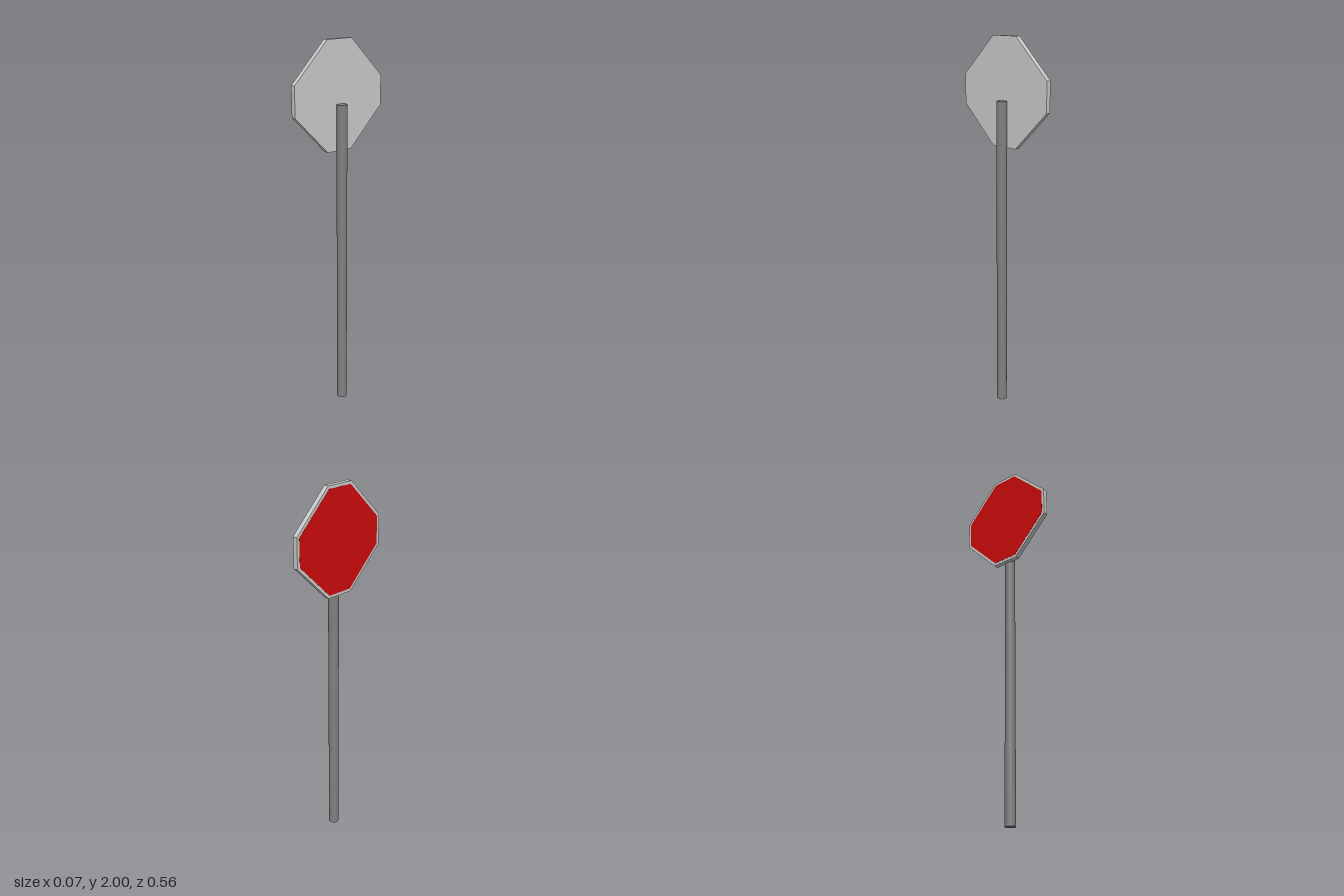
import * as THREE from 'three';

// Octagon with half-width h and straight edges of half-length c
function octagon(h, c) {
  const corners = [[h, -c], [h, c], [c, h], [-c, h], [-h, c], [-h, -c], [-c, -h], [c, -h]];
  return new THREE.Shape(corners.map(([x, y]) => new THREE.Vector2(x, y)));
}

// Upright octagonal plate that starts at x and grows toward -x
function plate(name, h, c, x, depth, color) {
  const geometry = new THREE.ExtrudeGeometry(octagon(h, c), { depth, bevelEnabled: false });
  geometry.rotateY(-Math.PI / 2);
  const mesh = new THREE.Mesh(geometry, new THREE.MeshStandardMaterial({ color }));
  mesh.name = name;
  mesh.position.set(x, 1.722, 0);
  return mesh;
}

export function createModel() {
  const model = new THREE.Group();
  model.name = 'roadSign';

  // Round post, slightly sunk into the back of the sign
  const postHeight = 1.682;
  const post = new THREE.Mesh(
    new THREE.CylinderGeometry(0.0275, 0.0275, postHeight, 32),
    new THREE.MeshStandardMaterial({ color: 0x808080 })
  );
  post.name = 'post';
  post.position.set(0.008, postHeight / 2, 0);
  model.add(post);

  // Grey sign body with a red face that leaves a narrow rim
  model.add(plate('signBody', 0.279, 0.0775, -0.01, 0.0262, 0xcccccc));
  model.add(plate('signFace', 0.264, 0.0713, -0.0362, 0.0008, 0xd00a0c));

  return model;
}
